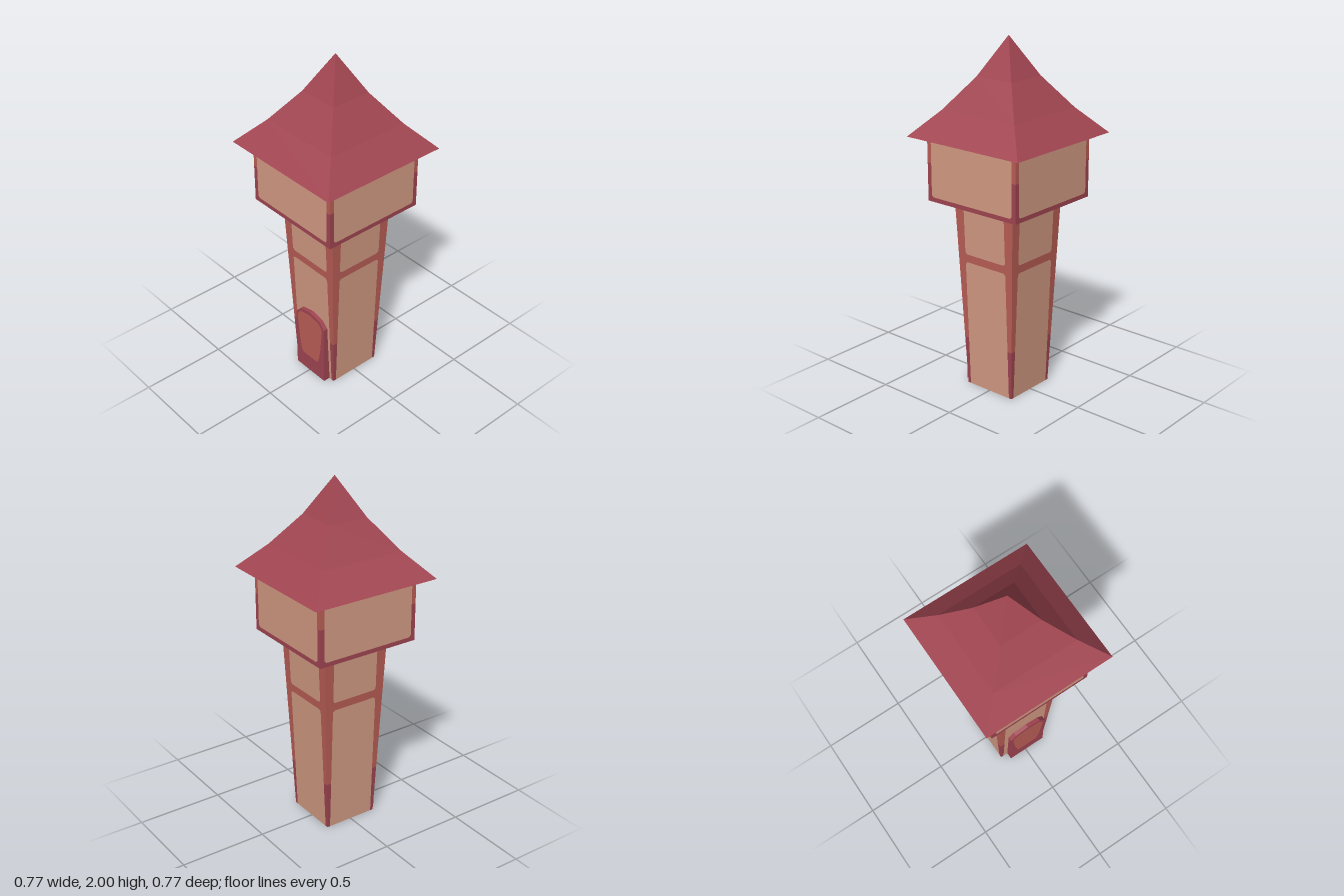
import * as THREE from 'three';

const material = (name, color, side = THREE.FrontSide) => {
  const m = new THREE.MeshStandardMaterial({ color, side, flatShading: true });
  m.name = name;
  return m;
};

export function createModel() {
  const tan = material('tan plaster', 0xd69d85, THREE.DoubleSide);
  const red = material('red timber', 0xbd5f57, THREE.DoubleSide);
  const maroon = material('maroon', 0xa24652, THREE.DoubleSide);

  const model = new THREE.Group();
  model.name = 'watchtower';

  const shape = (pts) => new THREE.Shape(pts.map(([x, y]) => new THREE.Vector2(x, y)));
  const mesh = (name, geometry, mat, parent) => {
    const m = new THREE.Mesh(geometry, mat);
    m.name = name;
    parent.add(m);
    return m;
  };

  // Flat outline pushed out onto a wall whose half width depends on height
  const wallPiece = (name, pts, halfAt, mat, parent) => {
    const g = new THREE.ShapeGeometry(shape(pts));
    const p = g.attributes.position;
    for (let i = 0; i < p.count; i++) p.setZ(i, halfAt(p.getY(i)));
    g.computeVertexNormals();
    return mesh(name, g, mat, parent);
  };
  const mirrored = (pts) => [...pts, ...pts.map(([x, y]) => [-x, y]).reverse()];

  // Tapered shaft, open at the base, and the wider lookout room
  const shaft = new THREE.Group();
  shaft.name = 'shaft';
  shaft.position.x = 0.005;
  const room = new THREE.Group();
  room.name = 'lookoutRoom';
  model.add(shaft, room);

  const top = 1.105, eaves = 1.465, split = 0.29;
  const shaftHalf = (y) => 0.161 + 0.044 * y / top;
  const roomHalf = () => 0.308;
  const w = 0.143, c = 0.012;

  for (let i = 0; i < 4; i++) {
    const side = new THREE.Group();
    side.name = 'shaftWall';
    side.rotation.y = i * Math.PI / 2;
    shaft.add(side);

    const lower = [[w, 0], [w, 0.757 - c], [w - c, 0.757]];
    const upper = [[w, top], [w, 0.803 + c], [w - c, 0.803]];
    wallPiece('lowerPanel', mirrored(lower), shaftHalf, tan, side);
    wallPiece('upperPanel', mirrored(upper), shaftHalf, tan, side);
    // H-shaped timber frame around the two panels
    wallPiece('timberFrame', mirrored([
      [w - c, 0.757], [w, 0.757 - c], [w, split], [shaftHalf(split), split],
      [shaftHalf(top), top], [w, top], [w, 0.803 + c], [w - c, 0.803],
    ]), shaftHalf, red, side);
    for (const s of [-1, 1]) {
      const foot = [[w, 0], [shaftHalf(0), 0], [shaftHalf(split), split], [w, split]]
        .map(([x, y]) => [x * s, y]);
      wallPiece('cornerFoot', foot, shaftHalf, maroon, side);
    }

    const roomSide = new THREE.Group();
    roomSide.name = 'roomWall';
    roomSide.rotation.y = i * Math.PI / 2;
    room.add(roomSide);
    const h = roomHalf(), v = 0.282, y0 = 1.13, y1 = 1.445, mid = 1.32;
    const low = [[v - c, y0], [v, y0 + c]];
    const high = [[v, y1 - c], [v - c, y1]];
    wallPiece('roomPanel', mirrored([...low, ...high]), roomHalf, tan, roomSide);
    wallPiece('lowerRoomFrame', mirrored([...low, [v, mid], [h, mid], [h, top]]),
      roomHalf, maroon, roomSide);
    wallPiece('upperRoomFrame', mirrored([[h, eaves], [h, mid], [v, mid], ...high]),
      roomHalf, red, roomSide);
  }

  // Underside of the lookout room
  const floor = mesh('roomFloor', new THREE.PlaneGeometry(0.616, 0.616), maroon, room);
  floor.rotation.x = Math.PI / 2;
  floor.position.y = top;

  // Flared four-sided roof with a closed underside
  const profile = [[0, eaves], [0.384, eaves], [0.25, 1.608], [0.12, 1.783], [0, 2]]
    .map(([r, y]) => new THREE.Vector2(r * Math.SQRT2, y));
  mesh('roof', new THREE.LatheGeometry(profile, 4, Math.PI / 4), maroon, model);

  // Arched door slab with a flared inset plate
  const door = new THREE.Group();
  door.name = 'door';
  door.position.x = 0.01;
  model.add(door);
  const slab = new THREE.ExtrudeGeometry(shape(mirrored([
    [0.12, 0], [0.12, 0.383], [0.085, 0.422], [0.002, 0.44],
  ])), { depth: 0.042, bevelEnabled: false });
  mesh('doorSlab', slab, maroon, door).position.z = 0.16;
  const plate = new THREE.ShapeGeometry(shape(mirrored([
    [0.06, 0.11], [0.073, 0.125], [0.09, 0.21], [0.106, 0.36],
    [0.1, 0.385], [0.078, 0.41], [0.002, 0.422],
  ])));
  mesh('doorPlate', plate, red, door).position.z = 0.205;

  return model;
}
